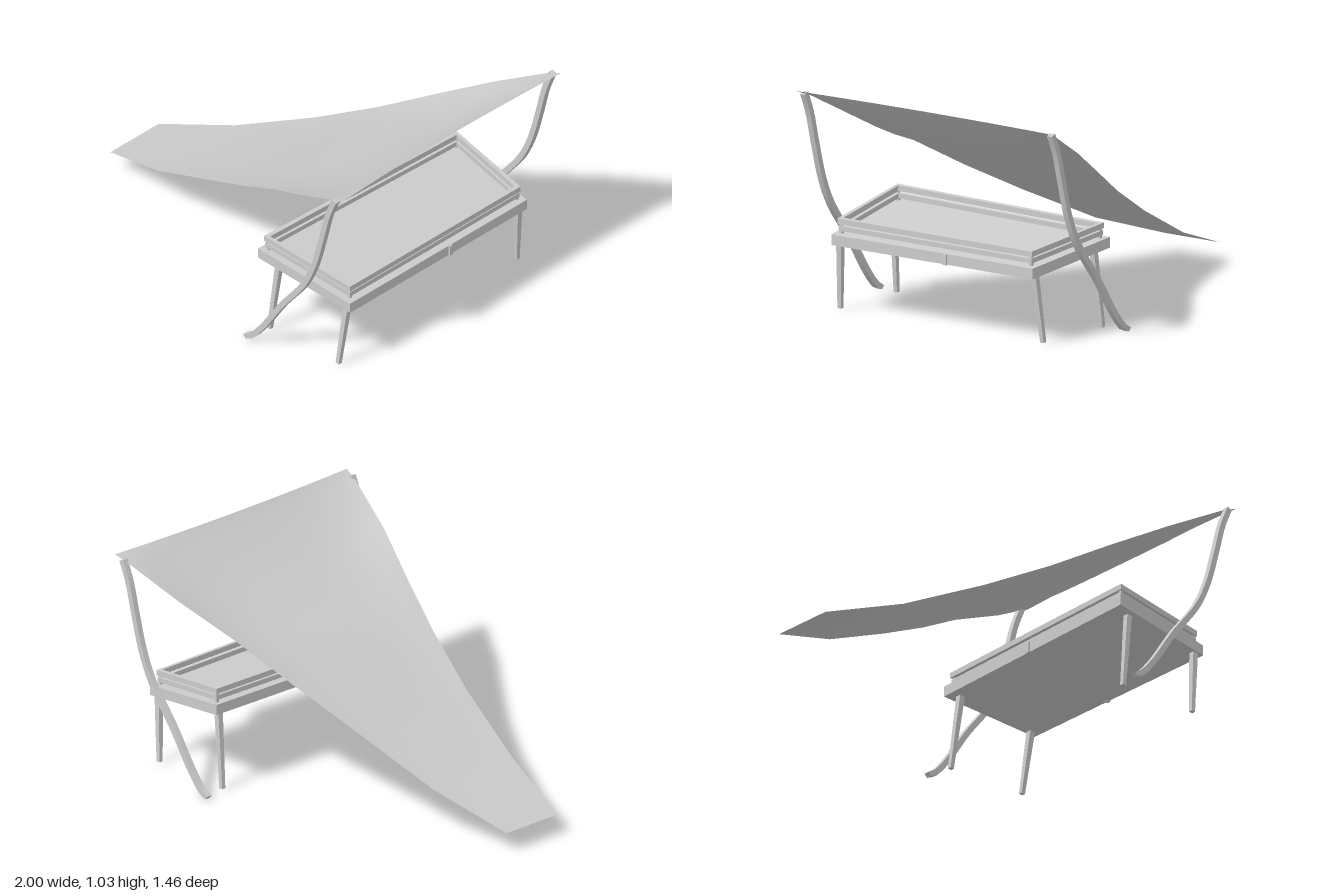
import * as THREE from 'three';
import { toCreasedNormals } from 'three/addons/utils/BufferGeometryUtils.js';

const grey = new THREE.MeshStandardMaterial({ color: 0xcccccc });
const cloth = new THREE.MeshStandardMaterial({ color: 0xcccccc, side: THREE.DoubleSide });
const SLOPE = 0.14; // fall of the table towards +x

function add(parent, name, geometry, material = grey) {
  const mesh = new THREE.Mesh(geometry, material);
  mesh.name = name;
  parent.add(mesh);
  return mesh;
}

// Sagging sheet, swept from cross-sections: [x, half width, edge height, sag]
function canopyGeometry() {
  const rows = [
    [-1, 0.16, 0.095, 0], [-0.61, 0.255, 0.222, 0.003], [-0.2, 0.35, 0.41, 0.008],
    [0.12, 0.445, 0.572, 0.016], [0.4, 0.54, 0.73, 0.028], [0.66, 0.64, 0.868, 0.072],
    [0.92, 0.712, 1.0, 0.025], [0.98, 0.73, 1.03, 0],
  ];
  const cols = 12, pos = [], idx = [];
  rows.forEach(([x, half, edge, sag], r) => {
    for (let c = 0; c <= cols; c++) {
      const t = (c / cols) * 2 - 1;
      const bow = r === rows.length - 1 ? 0.02 * t * t : 0;
      pos.push(x + bow, edge - sag * (1 - t ** 4), t * half);
      if (r && c) {
        const d = r * (cols + 1) + c, b = d - cols - 1;
        idx.push(b - 1, b, d, b - 1, d, d - 1);
      }
    }
  });
  const g = new THREE.BufferGeometry();
  g.setAttribute('position', new THREE.Float32BufferAttribute(pos, 3));
  g.setIndex(idx);
  g.computeVertexNormals();
  return g;
}

// Square-section post bent along a curve in the XY plane
function postGeometry() {
  const curve = new THREE.CatmullRomCurve3([
    [0.39, 0.005], [0.43, 0.03], [0.5, 0.11], [0.62, 0.285], [0.76, 0.465],
    [0.825, 0.6], [0.875, 0.77], [0.915, 0.92], [0.955, 1.015],
  ].map(([x, y]) => new THREE.Vector3(x, y, 0)));
  const n = 28, w = 0.014, left = [], right = [];
  for (let i = 0; i <= n; i++) {
    const p = curve.getPointAt(i / n), t = curve.getTangentAt(i / n);
    left.push(new THREE.Vector2(p.x - t.y * w, Math.max(0, p.y + t.x * w)));
    right.push(new THREE.Vector2(p.x + t.y * w, Math.max(0, p.y - t.x * w)));
  }
  const g = new THREE.ExtrudeGeometry(new THREE.Shape([...right, ...left.reverse()]),
    { depth: 0.028, bevelEnabled: false });
  g.translate(0, 0, -0.014);
  return toCreasedNormals(g, 0.6);
}

// Table outline, shrunk by an inset; wider on the -x side and slightly skewed
function outline(inset) {
  return [
    [0.38 + inset, 0.632 - inset], [0.92 - inset, 0.588 - inset],
    [0.92 - inset, -0.583 + inset], [0.42 + inset, -0.64 + inset],
  ].map(([x, z]) => new THREE.Vector2(x, -z));
}

// Slab or open frame lying on the sloping table plane
function slopedPlate(inset, bottom, height, rim) {
  const shape = new THREE.Shape(outline(inset));
  if (rim) shape.holes.push(new THREE.Path(outline(inset + rim)));
  const g = new THREE.ExtrudeGeometry(shape, { depth: height, bevelEnabled: false });
  g.rotateX(-Math.PI / 2);
  const p = g.attributes.position;
  for (let i = 0; i < p.count; i++) p.setY(i, p.getY(i) + bottom - SLOPE * (p.getX(i) - 0.38));
  g.computeVertexNormals();
  return g;
}

// Tapered square leg between two points
function leg(parent, name, top, foot) {
  const a = new THREE.Vector3(...top), b = new THREE.Vector3(...foot);
  const g = new THREE.CylinderGeometry(0.02, 0.014, a.distanceTo(b), 4);
  g.rotateY(Math.PI / 4);
  const mesh = add(parent, name, toCreasedNormals(g, 0.5));
  mesh.position.copy(a).add(b).multiplyScalar(0.5);
  mesh.quaternion.setFromUnitVectors(new THREE.Vector3(0, 1, 0), a.sub(b).normalize());
}

export function createModel() {
  const model = new THREE.Group();
  model.name = 'canopyAndTable';

  add(model, 'canopy', canopyGeometry(), cloth);

  // Curved posts under the raised corners
  const post = postGeometry();
  for (const side of [1, -1]) {
    add(model, side > 0 ? 'leftPost' : 'rightPost', post).position.z = side * 0.718;
  }

  // Table: slab with two open rails above it
  const table = new THREE.Group();
  table.name = 'table';
  model.add(table);
  add(table, 'tableTop', slopedPlate(0, 0.39, 0.05, 0));
  add(table, 'lowerRail', slopedPlate(0.024, 0.453, 0.023, 0.02));
  add(table, 'upperRail', slopedPlate(0.02, 0.485, 0.026, 0.02));

  // Corner pegs carrying the rails
  for (const v of outline(0.034)) {
    const peg = add(table, 'railPeg', new THREE.BoxGeometry(0.014, 0.07, 0.014));
    peg.position.set(v.x, 0.465 - SLOPE * (v.x - 0.38), -v.y);
  }

  // Small clips at the middle of both long edges
  for (const [x, z] of [[0.918, -0.075], [0.402, -0.03]]) {
    const clip = add(table, 'edgeClip', new THREE.BoxGeometry(0.02, 0.05, 0.02));
    clip.position.set(x, 0.413 - SLOPE * (x - 0.38), z);
  }

  // Splayed legs
  for (const s of [1, -1]) {
    leg(table, 'innerLeg', [0.47, 0.39, s * 0.58], [0.425, 0.008, s * 0.598]);
    leg(table, 'outerLeg', [0.882, 0.33, s * 0.565], [0.85, 0.008, s * 0.59]);
  }
  return model;
}
